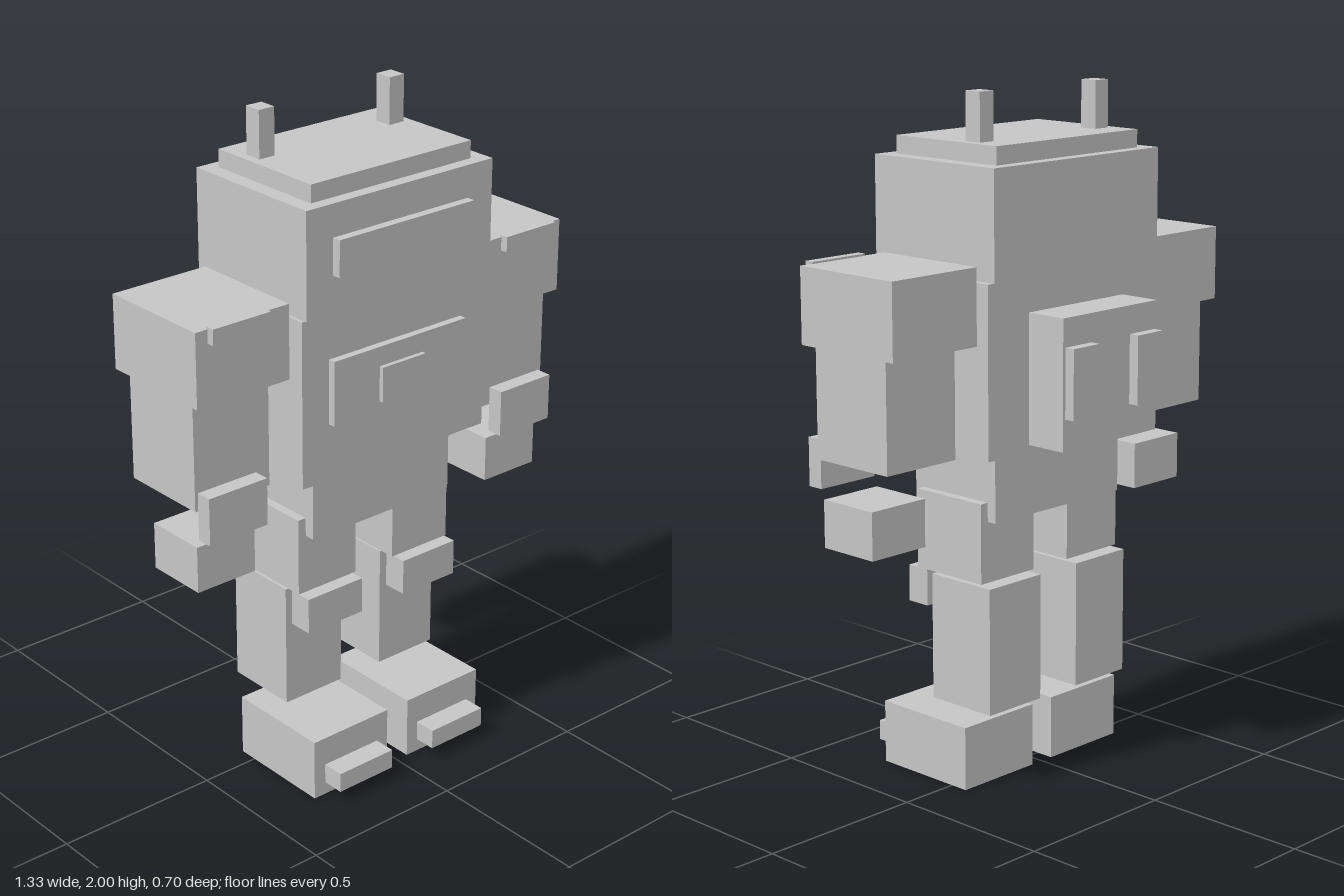
import * as THREE from 'three';

export function createModel() {
  const root = new THREE.Group();
  root.name = 'robot';
  const grey = new THREE.MeshStandardMaterial({ color: 0xc5c5c5 });
  grey.name = 'lightGrey';

  // Box given by its extents [min, max] on each axis
  function block(parent, name, x, y, z) {
    const geometry = new THREE.BoxGeometry(x[1] - x[0], y[1] - y[0], z[1] - z[0]);
    const mesh = new THREE.Mesh(geometry, grey);
    mesh.name = name;
    mesh.position.set((x[0] + x[1]) / 2, (y[0] + y[1]) / 2, (z[0] + z[1]) / 2);
    parent.add(mesh);
  }
  function group(name) {
    const g = new THREE.Group();
    g.name = name;
    root.add(g);
    return g;
  }

  // Head with stepped cap and raised visor
  const head = group('head');
  block(head, 'skull', [-0.335, 0.335], [1.498, 1.81], [-0.194, 0.273]);
  block(head, 'cap', [-0.287, 0.287], [1.81, 1.862], [-0.156, 0.235]);
  block(head, 'visor', [-0.243, 0.243], [1.608, 1.715], [0.273, 0.3]);

  // Torso, chest plate and pelvis
  const body = group('body');
  block(body, 'torso', [-0.337, 0.337], [0.998, 1.493], [-0.171, 0.255]);
  block(body, 'chestPlate', [-0.242, 0.242], [1.167, 1.36], [0.255, 0.278]);
  block(body, 'chestButton', [-0.079, 0.079], [1.197, 1.302], [0.278, 0.292]);
  block(body, 'pelvis', [-0.257, 0.257], [0.796, 0.985], [-0.118, 0.202]);

  // Backpack floating just behind the torso
  const pack = group('backpack');
  block(pack, 'packBody', [-0.194, 0.194], [1.025, 1.4], [-0.317, -0.188]);

  // Mirrored parts: name, |x|, y, z
  const pairs = {
    Antenna: [['antenna', [0.207, 0.26], [1.862, 2.0], [-0.067, -0.012]]],
    Thruster: [['thruster', [0.08, 0.185], [1.117, 1.318], [-0.348, -0.317]]],
    Arm: [
      ['shoulder', [0.352, 0.665], [1.321, 1.54], [-0.143, 0.22]],
      ['shoulderTrim', [0.431, 0.625], [1.5, 1.546], [0.215, 0.243]],
      ['arm', [0.394, 0.65], [1.003, 1.321], [-0.099, 0.18]],
      ['wristGuard', [0.441, 0.64], [0.916, 1.057], [0.18, 0.229]],
      ['hand', [0.441, 0.64], [0.749, 0.888], [-0.025, 0.17]],
    ],
    Leg: [
      ['thigh', [0.071, 0.284], [0.617, 0.852], [-0.088, 0.17]],
      ['kneePad', [0.08, 0.281], [0.506, 0.615], [0.135, 0.21]],
      ['shin', [0.076, 0.284], [0.233, 0.609], [-0.121, 0.111]],
      ['foot', [0.04, 0.32], [0, 0.189], [-0.056, 0.28]],
      ['toeBar', [0.08, 0.28], [0.04, 0.1], [0.28, 0.348]],
    ],
  };
  for (const [title, parts] of Object.entries(pairs)) {
    for (const side of [1, -1]) {
      const g = group((side > 0 ? 'left' : 'right') + title);
      for (const [name, [a, b], y, z] of parts) {
        block(g, name, side > 0 ? [a, b] : [-b, -a], y, z);
      }
    }
  }
  return root;
}
